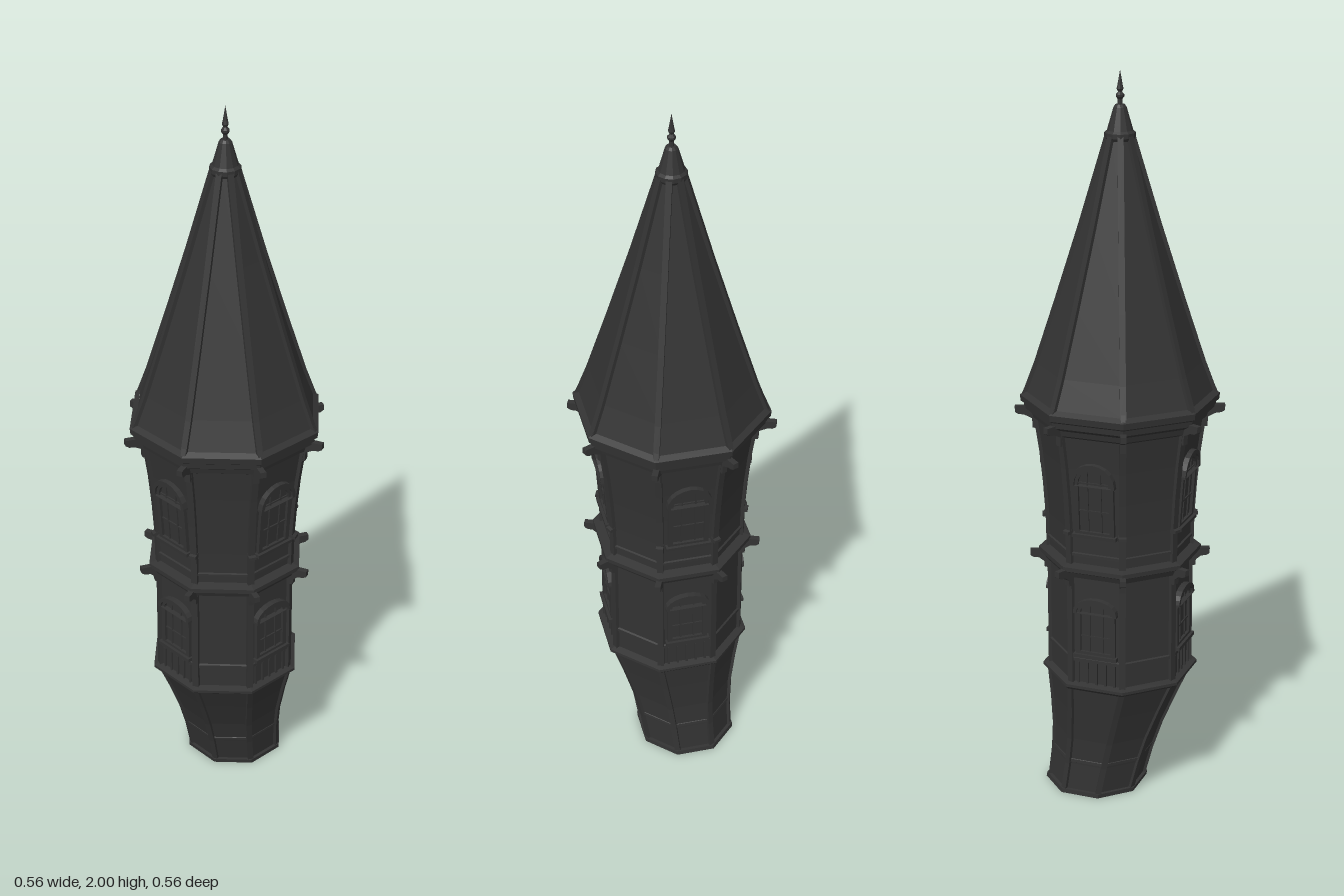
import * as THREE from 'three';

const STEP = Math.PI / 4;
const APO = Math.cos(Math.PI / 8); // apothem / corner radius of an octagon

export function createModel() {
  const tower = new THREE.Group();
  tower.name = 'tower';
  const mat = new THREE.MeshStandardMaterial({ color: 0x333333, flatShading: true });

  const add = (parent, geo, name, x = 0, y = 0, z = 0) => {
    const m = new THREE.Mesh(geo, mat);
    m.name = name;
    m.position.set(x, y, z);
    parent.add(m);
    return m;
  };

  // The foot leans backwards: everything below the ledge is sheared in z.
  const lean = (geo) => {
    const p = geo.attributes.position;
    for (let i = 0; i < p.count; i++) {
      const t = Math.max(0, 1 - p.getY(i) / 0.35);
      p.setZ(i, p.getZ(i) - 0.067 * t);
    }
    return geo;
  };

  // Octagonal (or rounder) solid from [radius, y] rows, bottom to top
  const turned = (rows, name, sides = 8) =>
    add(tower, lean(new THREE.LatheGeometry(rows.map(([r, y]) => new THREE.Vector2(r, y)), sides)), name);

  // Flat outline in the (radius, y) plane, given thickness and repeated on all corners
  const onCorners = (outline, width, name) => {
    const shape = new THREE.Shape(outline.map(([r, y]) => new THREE.Vector2(r, y)));
    for (let k = 0; k < 8; k++) {
      const g = new THREE.ExtrudeGeometry(shape, { depth: width, bevelEnabled: false, curveSegments: 4 });
      g.translate(0, 0, -width / 2);
      g.rotateY(k * STEP);
      add(tower, lean(g), name);
    }
  };
  // Rib that follows a profile
  const ribs = (rows, out, width, name) => onCorners(
    [...rows.map(([r, y]) => [r + out, y]), ...rows.slice().reverse().map(([r, y]) => [Math.max(r - 0.015, 0.001), y])],
    width, name);

  // Walls
  const foot = [[0.132, 0.012], [0.138, 0.09], [0.15, 0.17], [0.172, 0.26], [0.196, 0.345]];
  const lower = [[0.193, 0.355], [0.193, 0.68]];
  const upper = [[0.195, 0.7], [0.197, 0.8], [0.203, 0.89], [0.212, 0.98], [0.227, 1.085]];
  const roof = [[0.252, 1.145], [0.222, 1.225], [0.165, 1.4], [0.102, 1.6], [0.032, 1.835]];
  turned([[0, 0], [0.142, 0], [0.142, 0.012], ...foot], 'foot');
  turned([[0.185, 0.335], [0.205, 0.34], [0.214, 0.348], [0.214, 0.356], [0.19, 0.362]], 'lowerLedge');
  turned(lower, 'lowerWall');
  turned([[0.19, 0.665], [0.205, 0.67], [0.212, 0.685], [0.222, 0.69], [0.222, 0.702], [0.19, 0.71]], 'middleLedge');
  turned(upper, 'upperWall');
  turned([[0.21, 1.06], [0.236, 1.075], [0.24, 1.09], [0.256, 1.1], [0.258, 1.115], [0.266, 1.12],
    [0.268, 1.137], [0.252, 1.147]], 'eave');
  turned(roof, 'roof');
  turned([[0.136, 0.094], [0.142, 0.097], [0.142, 0.105], [0.138, 0.108]], 'footBand');
  turned([[0.19, 0.42], [0.198, 0.423], [0.198, 0.432], [0.19, 0.436]], 'railBand');
  turned([[0.193, 0.728], [0.201, 0.731], [0.201, 0.738], [0.193, 0.741]], 'upperBand');

  // Ribs up every corner
  ribs(foot, 0.005, 0.016, 'footRib');
  ribs(lower, 0.006, 0.018, 'lowerPost');
  ribs(upper, 0.006, 0.018, 'upperPost');
  ribs(roof, 0.007, 0.016, 'roofRib');

  // Corner brackets and studs
  const bracket = (r, tip, y, h) => [[r - 0.02, y], [tip, y], [tip, y - 0.016], [tip - 0.01, y - 0.022],
    [tip - 0.024, y - 0.023], [r + 0.013, y - 0.034], [r + 0.012, y - h], [r - 0.02, y - h - 0.006]];
  onCorners(bracket(0.223, 0.282, 1.106, 0.06), 0.016, 'eaveBracket');
  onCorners(bracket(0.195, 0.246, 0.694, 0.05), 0.016, 'middleBracket');
  onCorners([[0.19, 0.79], [0.212, 0.792], [0.212, 0.8], [0.19, 0.806]], 0.02, 'postStud');
  onCorners([[0.225, 1.14], [0.262, 1.14], [0.24, 1.19], [0.222, 1.19]], 0.012, 'ribFoot');

  // Arched outline standing on y = 0: straight sides to h, then a rise
  const arch = (w, h, rise, Type = THREE.Shape, base = 0) => {
    const s = new Type();
    const n = 10;
    s.moveTo(-w / 2, base);
    s.lineTo(w / 2, base);
    for (let i = 0; i <= n; i++) {
      const a = (i / n) * Math.PI;
      s.lineTo((w / 2) * Math.cos(a), h + rise * Math.sin(a));
    }
    s.closePath();
    return s;
  };
  const extrude = (s, depth) => new THREE.ExtrudeGeometry(s, { depth, bevelEnabled: false });

  const addWindow = (parent, name, y, apothem, tilt, w, h, rise) => {
    const win = new THREE.Group();
    win.name = name;
    win.position.set(0, y, apothem);
    win.rotation.x = tilt;
    parent.add(win);
    const frame = arch(w, h, rise);
    frame.holes.push(arch(w - 0.026, h, rise - 0.013, THREE.Path, 0.012));
    add(win, extrude(frame, 0.014), 'windowFrame', 0, 0, -0.004);
    add(win, extrude(arch(w - 0.02, h, rise - 0.01), 0.003), 'windowPane', 0, 0, -0.001);
    for (const x of [-w / 6, w / 6])
      add(win, new THREE.BoxGeometry(0.004, h + rise * 0.75, 0.006), 'mullion', x, (h + rise * 0.75) / 2, 0.003);
    for (const t of [0.35, 0.75])
      add(win, new THREE.BoxGeometry(w - 0.02, 0.004, 0.006), 'crossbar', 0, (h + rise) * t, 0.003);
    add(win, new THREE.BoxGeometry(w + 0.012, 0.01, 0.024), 'windowSill', 0, 0, 0.006);
    // Hood moulding over the arch
    const hood = arch(w + 0.012, h, rise + 0.008, THREE.Shape, h - 0.006);
    hood.holes.push(arch(w - 0.008, h, rise - 0.004, THREE.Path, h - 0.005));
    add(win, extrude(hood, 0.019), 'windowHood', 0, 0, -0.002);
  };

  // Every second face has windows; balusters and panel strips on the window bays
  for (let k = 0; k < 4; k++) {
    const bay = new THREE.Group();
    bay.name = 'windowBay';
    bay.rotation.y = -Math.PI / 8 + k * Math.PI / 2;
    tower.add(bay);
    addWindow(bay, 'lowerWindow', 0.445, 0.193 * APO, 0, 0.112, 0.13, 0.03);
    addWindow(bay, 'upperWindow', 0.795, 0.196 * APO, 0.07, 0.112, 0.15, 0.05);
    for (let i = -2; i <= 2; i++)
      add(bay, new THREE.BoxGeometry(0.006, 0.065, 0.01), 'baluster', i * 0.026, 0.39, 0.193 * APO);
  }

  // Collar, cap and spike
  turned([[0, 1.82], [0.036, 1.82], [0.041, 1.828], [0.041, 1.84], [0.034, 1.846], [0.03, 1.86],
    [0.017, 1.905], [0.012, 1.912], [0, 1.912]], 'roofCap', 12);
  turned([[0.007, 1.908], [0.006, 1.925], [0.011, 1.932], [0.011, 1.937], [0.005, 1.944], [0.009, 1.952],
    [0.007, 1.96], [0, 2]], 'finial', 8);

  return tower;
}
